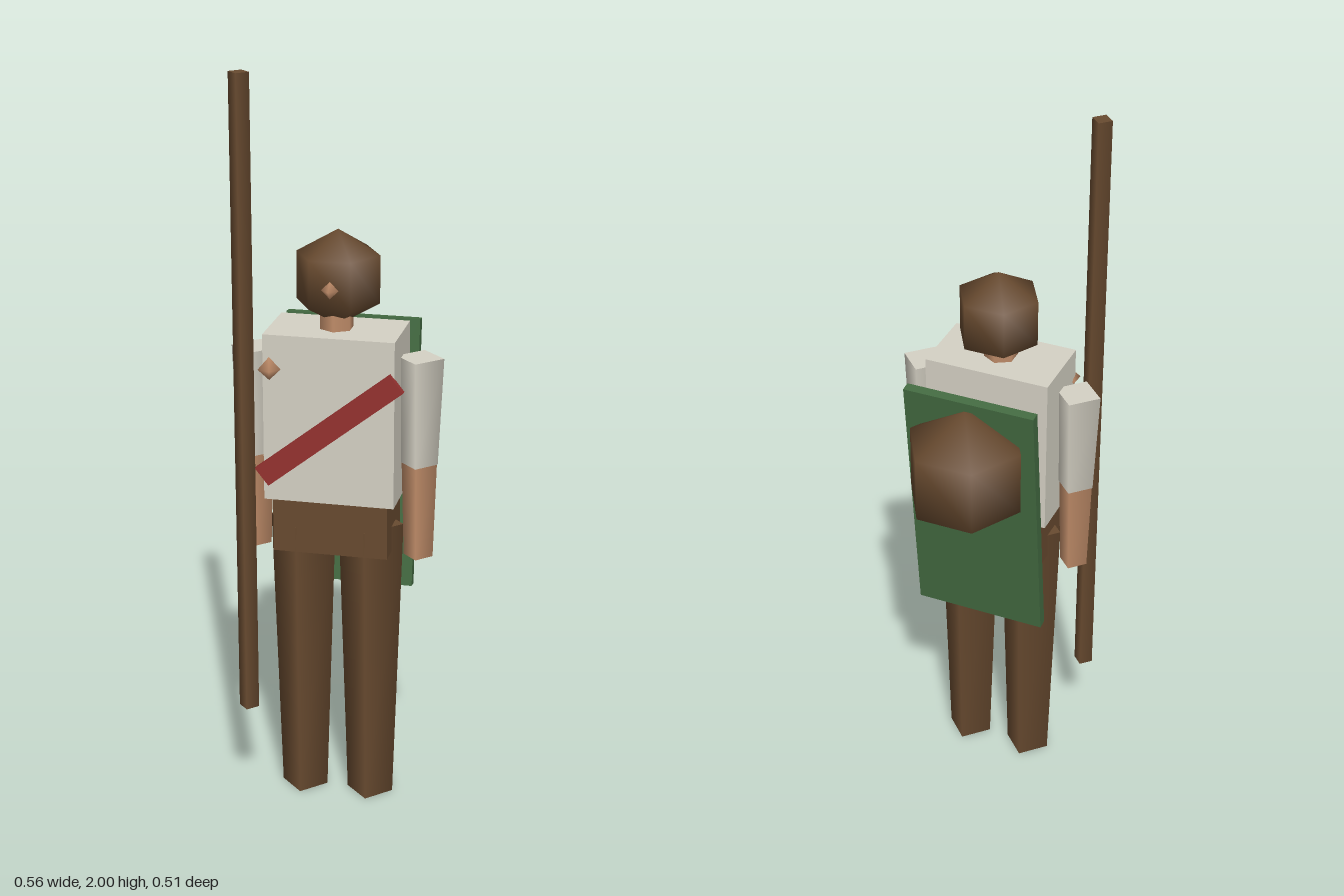
import * as THREE from 'three';

const material = (name, color) => {
  const m = new THREE.MeshStandardMaterial({ color });
  m.name = name;
  return m;
};

export function createModel() {
  const group = new THREE.Group();
  const brown = material('brown', 0x694b30);
  const skin = material('skin', 0xc28e6a);
  const cream = material('cream', 0xd6d2c5);
  const red = material('red', 0x963230);
  const green = material('green', 0x446c42);

  const add = (name, geometry, mat, x, y, z) => {
    const mesh = new THREE.Mesh(geometry, mat);
    mesh.name = name;
    mesh.position.set(x, y, z);
    group.add(mesh);
    return mesh;
  };
  const box = (name, mat, w, h, d, x, y, z) =>
    add(name, new THREE.BoxGeometry(w, h, d), mat, x, y, z);
  // Tapered post spanning y0 to y1
  const post = (name, mat, rTop, rBottom, sides, y0, y1, x, z) =>
    add(name, new THREE.CylinderGeometry(rTop, rBottom, y1 - y0, sides), mat, x, (y0 + y1) / 2, z);
  const ball = (name, mat, r, w, h, x, y, z) =>
    add(name, new THREE.SphereGeometry(r, w, h), mat, x, y, z);

  // Body
  const bodyZ = 0.117;
  box('torso', cream, 0.345, 0.45, 0.2, 0, 1.105, bodyZ);
  box('hips', brown, 0.306, 0.15, 0.17, 0, 0.805, bodyZ);
  post('neck', skin, 0.045, 0.045, 6, 1.3, 1.4, 0, bodyZ);

  // Limbs, mirrored
  for (const [side, s] of [['left', 1], ['right', -1]]) {
    post(side + 'Leg', brown, 0.088, 0.063, 4, 0, 0.8, s * 0.092, bodyZ);
    post(side + 'Sleeve', cream, 0.063, 0.05, 4, 0.975, 1.265, s * 0.219, bodyZ);
    post(side + 'Forearm', skin, 0.047, 0.039, 4, 0.715, 0.98, s * 0.22, bodyZ);
  }

  // Head
  ball('head', brown, 0.127, 6, 3, 0, 1.46, 0.1);
  ball('nose', skin, 0.028, 4, 2, 0, 1.45, 0.19);

  // Gear carried in front
  const strap = box('strap', red, 0.452, 0.058, 0.017, 0.002, 1.085, 0.222);
  strap.rotation.z = 0.667;
  const hand = ball('hand', skin, 0.031, 5, 2, -0.155, 1.24, 0.218);
  hand.rotation.y = -0.69;
  post('staff', brown, 0.027, 0.027, 4, 0.276, 2, -0.22, 0.227);

  // Gear carried on the back
  const board = box('backBoard', green, 0.364, 0.74, 0.027, 0, 0.938, -0.049);
  board.rotation.x = -0.107;
  ball('bundle', brown, 0.181, 6, 3, 0, 1.111, -0.119);

  return group;
}
